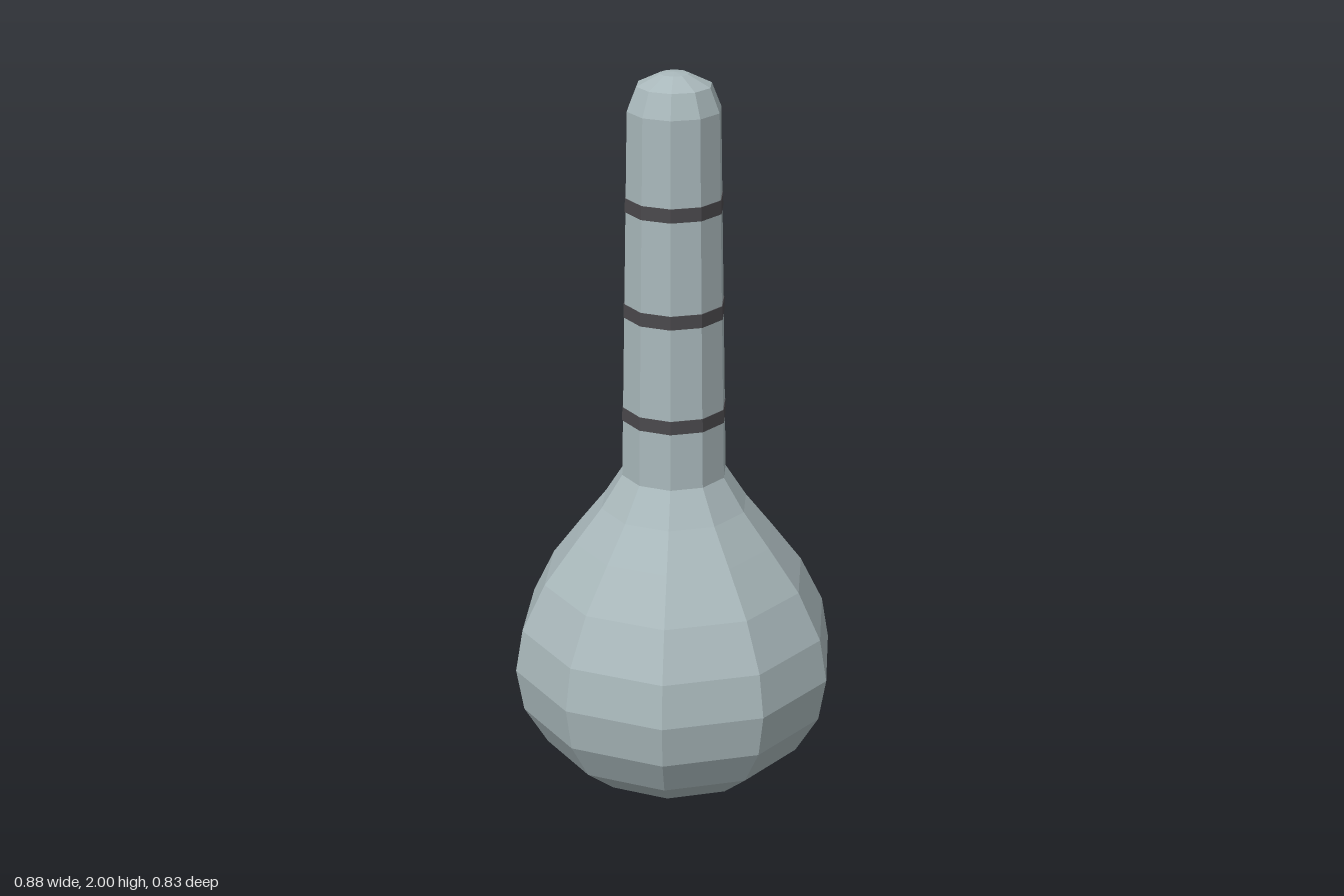
import * as THREE from 'three';

const SIDES = 10;

// Faceted solid of revolution with a corner on the x axis
function turned(name, profile, material) {
  const points = profile.map(([r, y]) => new THREE.Vector2(r, y));
  const mesh = new THREE.Mesh(new THREE.LatheGeometry(points, SIDES, Math.PI / 2), material);
  mesh.name = name;
  return mesh;
}

export function createModel() {
  const model = new THREE.Group();
  model.name = 'bulbFlask';
  const shell = new THREE.MeshStandardMaterial({ color: 0xa9b8bb, flatShading: true });
  const dark = new THREE.MeshStandardMaterial({ color: 0x4a484c, flatShading: true });

  // Round bulb drawn in to the foot of the neck
  model.add(turned('bulb', [
    [0, 0], [0.135, 0.025], [0.257, 0.077], [0.355, 0.158], [0.418, 0.265],
    [0.438, 0.383], [0.418, 0.5], [0.355, 0.628], [0.27, 0.742], [0.198, 0.835], [0.141, 0.925],
  ], shell));

  // Slightly tapering neck with a domed end
  const neckBottom = [0.141, 0.925], neckTop = [0.122, 1.905];
  model.add(turned('neck', [neckBottom, neckTop, [0.097, 1.967], [0.037, 1.996], [0, 2]], shell));

  // Thin dark bands that follow the taper
  const neckRadius = (y) => THREE.MathUtils.mapLinear(y, neckBottom[1], neckTop[1], neckBottom[0], neckTop[0]);
  for (const y of [1.098, 1.382, 1.663]) {
    const low = y - 0.018, high = y + 0.018, proud = 0.002;
    model.add(turned('neckBand', [
      [neckRadius(low), low], [neckRadius(low) + proud, low],
      [neckRadius(high) + proud, high], [neckRadius(high), high],
    ], dark));
  }
  return model;
}
